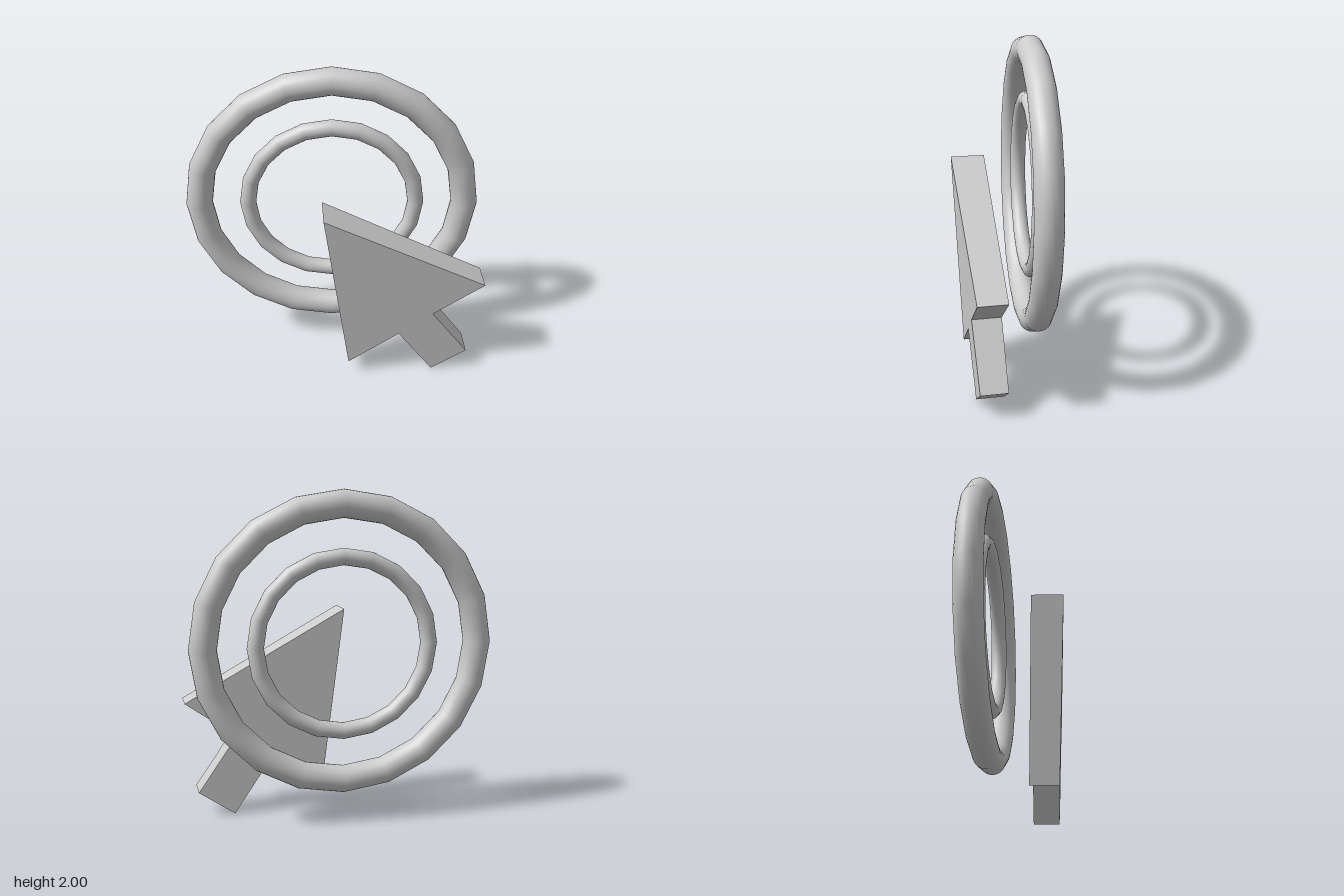
import * as THREE from 'three';

const material = new THREE.MeshStandardMaterial({ color: 0xcccccc });

// Low-poly ring with smooth normals, facing the front
function makeRing(name, radius, tube) {
  const ring = new THREE.Mesh(new THREE.TorusGeometry(radius, tube, 24, 20), material);
  ring.name = name;
  ring.position.set(-0.018, 1.092, -0.194);
  return ring;
}

// Pointer outline extruded, then tilted and tapered toward the tail
function makePointer() {
  const outline = [
    [-0.07, 1.265], [0.085, 0.105], [0.405, 0.34], [0.635, 0.003],
    [0.855, 0.155], [0.613, 0.5], [0.923, 0.722],
  ].map(([x, y]) => new THREE.Vector2(x, y));
  const geometry = new THREE.ExtrudeGeometry(new THREE.Shape(outline), { depth: 1, bevelEnabled: false });

  const pos = geometry.attributes.position;
  for (let i = 0; i < pos.count; i++) {
    const x = pos.getX(i), y = pos.getY(i);
    const dx = x + 0.07, dy = y - 1.265; // distance from the tip
    if (pos.getZ(i) > 0.5) pos.setZ(i, 0.276 - 0.057 * dx + 0.04 * dy);
    else pos.setXYZ(i, x - 0.009, y + 0.003, 0.074 - 0.034 * dx + 0.0214 * dy);
  }
  geometry.computeVertexNormals();

  const pointer = new THREE.Mesh(geometry, material);
  pointer.name = 'arrowPointer';
  return pointer;
}

export function createModel() {
  const group = new THREE.Group();
  group.name = 'clickIcon';
  group.add(
    makeRing('outerRing', 0.826, 0.082),
    makeRing('innerRing', 0.523, 0.05),
    makePointer(),
  );
  return group;
}
